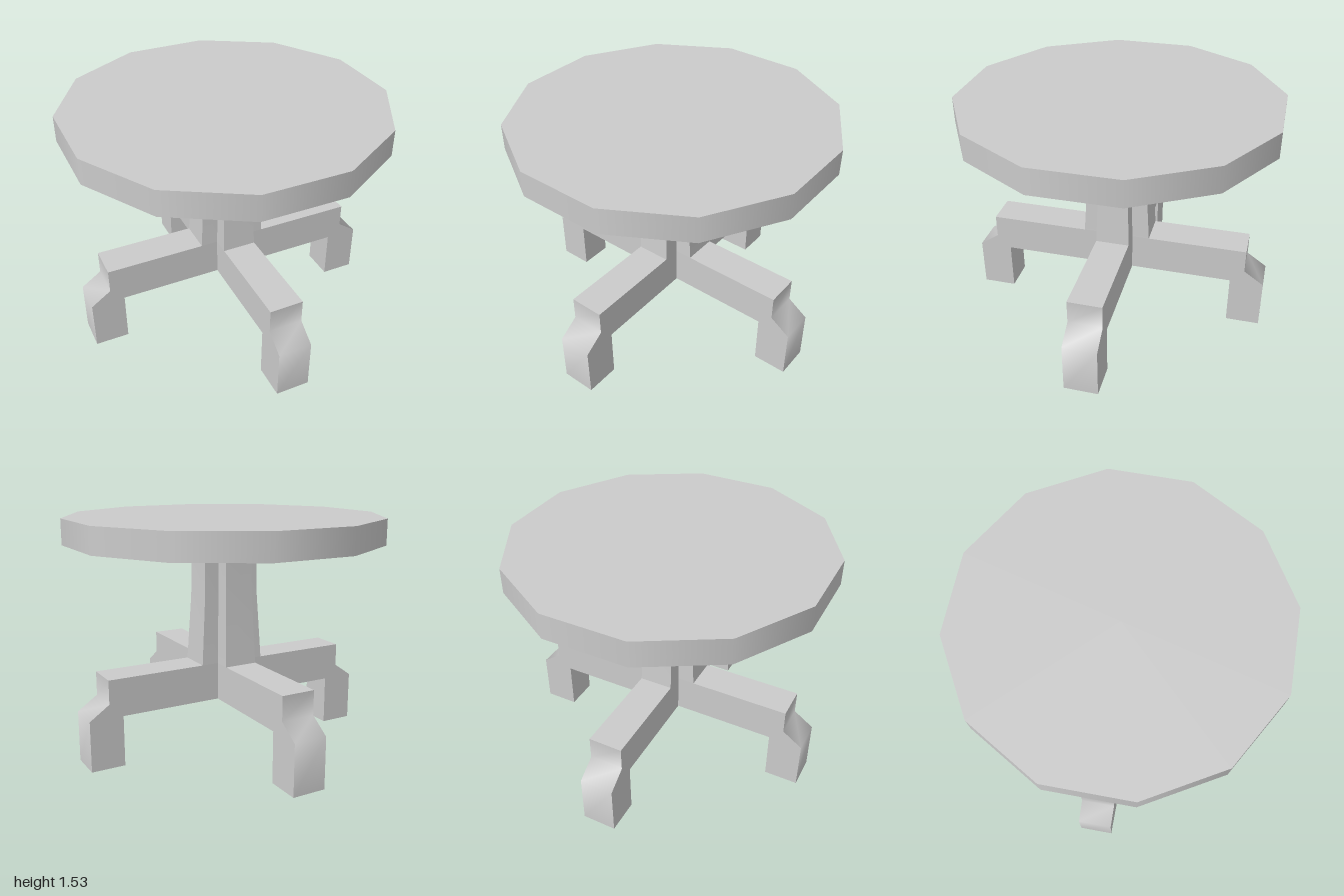
import * as THREE from 'three';
import { toCreasedNormals } from 'three/addons/utils/BufferGeometryUtils.js';

const material = new THREE.MeshStandardMaterial({ color: 0xcccccc });
const CREASE = THREE.MathUtils.degToRad(60);

const BEAM_BOTTOM = 0.33, BEAM_TOP = 0.575, TABLE_BOTTOM = 1.365, TABLE_TOP = 1.53;
const HALF_WIDTH = 0.11;

function addPart(group, name, geometry) {
  const mesh = new THREE.Mesh(geometry, material);
  mesh.name = name;
  group.add(mesh);
  return mesh;
}

function shapeOf(points) {
  return new THREE.Shape(points.map(([x, y]) => new THREE.Vector2(x, y)));
}

// Side outline of a leg from the beam's top out to the foot and back under
const legOutline = [
  [0.87, BEAM_TOP], [0.87, 0.42], [1, BEAM_BOTTOM], [1, 0], [0.78, 0], [0.78, BEAM_BOTTOM],
];

function extrudeLeg(points) {
  const geometry = new THREE.ExtrudeGeometry(shapeOf(points), { depth: 2 * HALF_WIDTH, bevelEnabled: false });
  geometry.translate(0, 0, -HALF_WIDTH);
  return toCreasedNormals(geometry, CREASE);
}

// Plus-shaped post, tapering in two stages
function postGeometry() {
  const a = HALF_WIDTH, b = 0.222;
  const plus = [
    [a, b], [-a, b], [-a, a], [-b, a], [-b, -a], [-a, -a],
    [-a, -b], [a, -b], [a, -a], [b, -a], [b, a], [a, a],
  ];
  const geometry = new THREE.ExtrudeGeometry(shapeOf(plus), { depth: 2, steps: 2, bevelEnabled: false });
  geometry.rotateX(-Math.PI / 2);
  const heights = [BEAM_TOP, 1.0, TABLE_BOTTOM];
  const scales = [1, 0.88, 0.845];
  const p = geometry.attributes.position;
  for (let i = 0; i < p.count; i++) {
    const level = Math.round(p.getY(i));
    p.setXYZ(i, p.getX(i) * scales[level], heights[level], p.getZ(i) * scales[level]);
  }
  return toCreasedNormals(geometry, CREASE);
}

export function createModel() {
  const group = new THREE.Group();
  group.name = 'pedestalTable';

  // Twelve-sided top with flat sides facing the four axes
  const thickness = TABLE_TOP - TABLE_BOTTOM;
  const radius = 1 / Math.cos(Math.PI / 12);
  const top = new THREE.CylinderGeometry(radius, radius, thickness, 12);
  top.rotateY(Math.PI / 12);
  top.translate(0, TABLE_BOTTOM + thickness / 2, 0);
  addPart(group, 'tabletop', top);

  addPart(group, 'post', postGeometry());

  // One full beam with a foot at each end
  const mirrored = legOutline.map(([x, y]) => [-x, y]).reverse();
  addPart(group, 'sideLegs', extrudeLeg([...legOutline, ...mirrored]));

  // Two legs joining the beam at the middle, front and back
  const halfLeg = extrudeLeg([[HALF_WIDTH, BEAM_TOP], ...legOutline, [HALF_WIDTH, BEAM_BOTTOM]]);
  addPart(group, 'frontLeg', halfLeg).rotation.y = -Math.PI / 2;
  addPart(group, 'backLeg', halfLeg).rotation.y = Math.PI / 2;

  return group;
}
